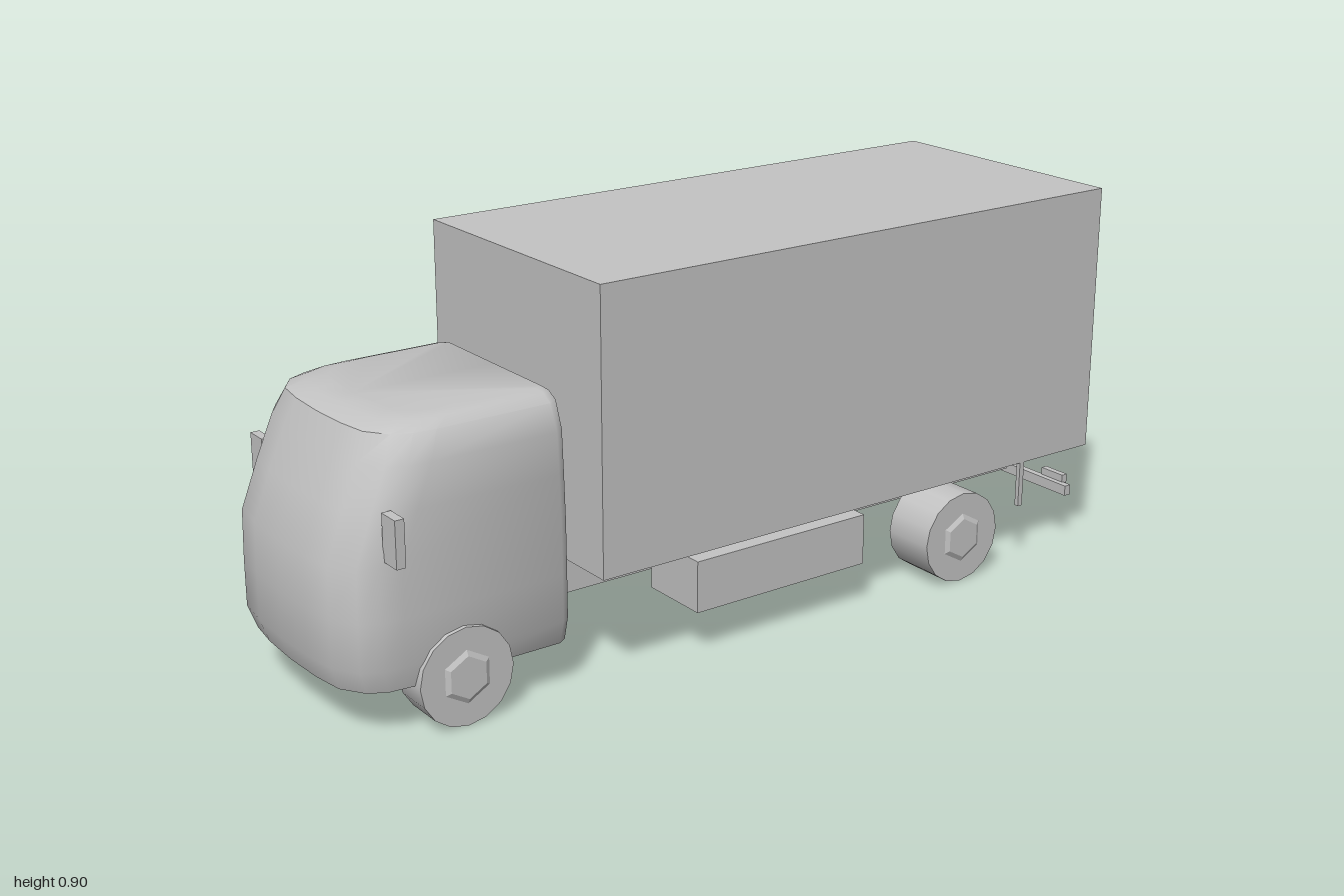
import * as THREE from 'three';
import { toCreasedNormals } from 'three/addons/utils/BufferGeometryUtils.js';

const paint = new THREE.MeshStandardMaterial({ color: 0xc4c4c4 });
paint.name = 'plain grey';

// Box given by its minimum and maximum corners
function box(name, [x0, y0, z0], [x1, y1, z1]) {
  const mesh = new THREE.Mesh(new THREE.BoxGeometry(x1 - x0, y1 - y0, z1 - z0), paint);
  mesh.position.set((x0 + x1) / 2, (y0 + y1) / 2, (z0 + z1) / 2);
  mesh.name = name;
  return mesh;
}

// Rounded cab: horizontal rings stacked upwards
function cabGeometry() {
  // height, half width, front z, back z
  const levels = [
    [0.112, 0.262, 0.982, 0.469],
    [0.165, 0.273, 1.0, 0.467],
    [0.27, 0.273, 1.0, 0.467],
    [0.383, 0.272, 0.997, 0.467],
    [0.49, 0.267, 0.957, 0.467],
    [0.58, 0.262, 0.92, 0.467],
    [0.637, 0.24, 0.893, 0.467],
    [0.652, 0.215, 0.855, 0.468],
    [0.658, 0.195, 0.81, 0.475],
  ];
  // half plan: share of half width, distance behind the front
  const plan = [[0, 0], [0.4, 0.004], [0.7, 0.015], [0.9, 0.05], [0.98, 0.09], [1, 0.14]];
  const positions = [], index = [];
  for (const [y, w, front, back] of levels) {
    const half = plan.map(([s, d]) => [s * w, front - d]);
    half.push([w, back + 0.02], [w * 0.95, back], [0, back]);
    const mirrored = half.slice(1, -1).reverse().map(([x, z]) => [-x, z]);
    for (const [x, z] of [...half, ...mirrored]) positions.push(x, y, z);
  }
  const n = positions.length / 3 / levels.length;
  for (let j = 0; j < levels.length - 1; j++) {
    for (let i = 0; i < n; i++) {
      const a = j * n + i, b = j * n + (i + 1) % n;
      index.push(a, b, b + n, a, b + n, a + n);
    }
  }
  // Floor and roof
  const top = (levels.length - 1) * n;
  for (let i = 1; i < n - 1; i++) {
    index.push(0, i + 1, i);
    index.push(top, top + i, top + i + 1);
  }
  const geometry = new THREE.BufferGeometry();
  geometry.setAttribute('position', new THREE.Float32BufferAttribute(positions, 3));
  geometry.setIndex(index);
  return toCreasedNormals(geometry, 0.72);
}

// Wheel with a low hub on the outer side
function wheel(name, side, inner, outer, z) {
  const group = new THREE.Group();
  group.name = name;
  const tyre = new THREE.Mesh(new THREE.CylinderGeometry(0.11, 0.11, outer - inner, 16), paint);
  tyre.name = 'tyre';
  tyre.position.y = (inner + outer) / 2;
  const hub = new THREE.Mesh(
    toCreasedNormals(new THREE.CylinderGeometry(0.048, 0.06, 0.006, 6), 0.3), paint);
  hub.name = 'hub';
  hub.position.y = outer + 0.003;
  hub.rotation.y = Math.PI / 6;
  group.add(tyre, hub);
  group.rotation.z = -side * Math.PI / 2;
  group.position.set(0, 0.11, z);
  return group;
}

export function createModel() {
  const truck = new THREE.Group();
  truck.name = 'boxTruck';

  const cab = new THREE.Mesh(cabGeometry(), paint);
  cab.name = 'cab';
  truck.add(cab);

  truck.add(
    box('cargoBox', [-0.328, 0.26, -0.992], [0.328, 0.896, 0.422]),
    box('chassis', [-0.12, 0.148, -0.938], [0.12, 0.248, 0.48]),
    box('rearBar', [-0.29, 0.12, -0.988], [0.29, 0.145, -0.97]),
  );

  for (const side of [-1, 1]) {
    const label = side > 0 ? 'left' : 'right';
    // Box placed on one side, measured outwards from the centre
    const add = (name, x0, x1, y0, y1, z0, z1) => truck.add(
      box(label + name, [Math.min(side * x0, side * x1), y0, z0],
        [Math.max(side * x0, side * x1), y1, z1]));
    add('Mirror', 0.262, 0.315, 0.397, 0.5, 0.874, 0.895);
    add('SideTank', 0.13, 0.302, 0.108, 0.228, -0.31, 0.16);
    add('Post', 0.317, 0.328, 0.15, 0.26, -0.785, -0.772);
    add('TailLight', 0.195, 0.265, 0.13, 0.163, -1.0, -0.984);
    truck.add(
      wheel(label + 'FrontWheel', side, 0.192, 0.283, 0.727),
      wheel(label + 'RearWheel', side, 0.192, 0.322, -0.598));
  }
  return truck;
}
